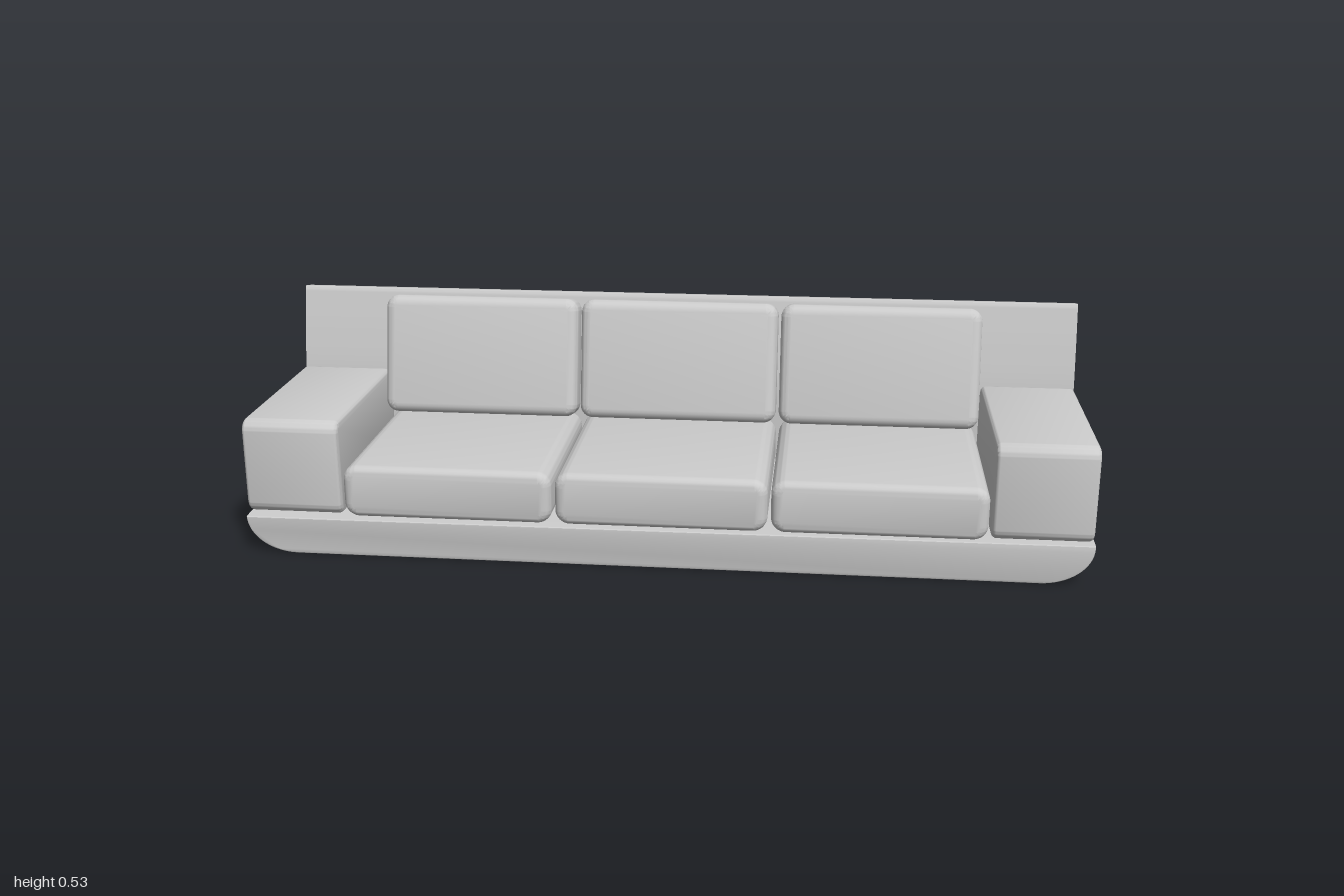
import * as THREE from 'three';
import { toCreasedNormals } from 'three/addons/utils/BufferGeometryUtils.js';

const material = new THREE.MeshStandardMaterial({ color: 0xcccccc, side: THREE.DoubleSide });

// Extrude a shape to a total depth centred on z = 0, with rounded rims inside the outline
function extrude(shape, depth, bevel) {
  const geometry = new THREE.ExtrudeGeometry(shape, {
    depth: depth - 2 * bevel, curveSegments: 8, bevelEnabled: bevel > 0,
    bevelThickness: bevel, bevelSize: bevel, bevelOffset: -bevel, bevelSegments: 5,
  });
  geometry.translate(0, 0, bevel - depth / 2);
  return toCreasedNormals(geometry, 0.6);
}

// Centred rectangle with round corners
function roundedRect(w, h, r) {
  const x = w / 2, y = h / 2, s = new THREE.Shape();
  s.absarc(x - r, y - r, r, 0, Math.PI / 2);
  s.absarc(r - x, y - r, r, Math.PI / 2, Math.PI);
  s.absarc(r - x, r - y, r, Math.PI, Math.PI * 1.5);
  s.absarc(x - r, r - y, r, Math.PI * 1.5, Math.PI * 2);
  s.closePath();
  return s;
}

export function createModel() {
  const model = new THREE.Group();
  model.name = 'sofa';
  const add = (name, geometry, x, y, z) => {
    const mesh = new THREE.Mesh(geometry, material);
    mesh.name = name;
    mesh.position.set(x, y, z);
    model.add(mesh);
    return mesh;
  };

  // Base tray: flat top, rounded lower ends
  const tray = new THREE.Shape();
  tray.moveTo(-1, 0.097);
  tray.absellipse(-0.88, 0.09, 0.12, 0.09, Math.PI, Math.PI * 1.5);
  tray.absellipse(0.88, 0.09, 0.12, 0.09, Math.PI * 1.5, Math.PI * 2);
  tray.lineTo(1, 0.097);
  tray.closePath();
  add('base', extrude(tray, 0.545, 0.004), 0, 0, 0.0225);

  // Back panel: side profile that sweeps backward toward the top
  const v = (z, y) => new THREE.Vector2(z, y);
  const panel = new THREE.Shape();
  panel.moveTo(-0.25, 0.088);
  panel.lineTo(-0.19, 0.088);
  panel.lineTo(-0.19, 0.097);
  panel.quadraticCurveTo(-0.2, 0.098, -0.201, 0.112);
  panel.splineThru([v(-0.2, 0.2), v(-0.203, 0.31), v(-0.221, 0.42), v(-0.244, 0.525)]);
  panel.quadraticCurveTo(-0.245, 0.532, -0.252, 0.531);
  panel.lineTo(-0.288, 0.524);
  panel.quadraticCurveTo(-0.295, 0.522, -0.293, 0.515);
  panel.splineThru([v(-0.269, 0.42), v(-0.252, 0.31), v(-0.249, 0.2), v(-0.25, 0.088)]);
  add('backPanel', extrude(panel, 2, 0).rotateY(-Math.PI / 2), 0, 0, 0);

  // Block armrests
  const arm = extrude(roundedRect(0.49, 0.233, 0.03), 0.233, 0.013).rotateY(-Math.PI / 2);
  add('leftArmrest', arm, 0.8815, 0.2135, 0.044);
  add('rightArmrest', arm, -0.8815, 0.2135, 0.044);

  // Three seat cushions with leaning back cushions
  const seat = extrude(roundedRect(0.5, 0.128, 0.035), 0.495, 0.022);
  const cushion = extrude(roundedRect(0.5, 0.302, 0.032), 0.095, 0.025);
  for (const x of [-0.508, 0, 0.508]) {
    add('seatCushion', seat, x, 0.161, 0.0485);
    add('backCushion', cushion, x, 0.379, -0.164).rotation.x = -0.205;
  }
  return model;
}
